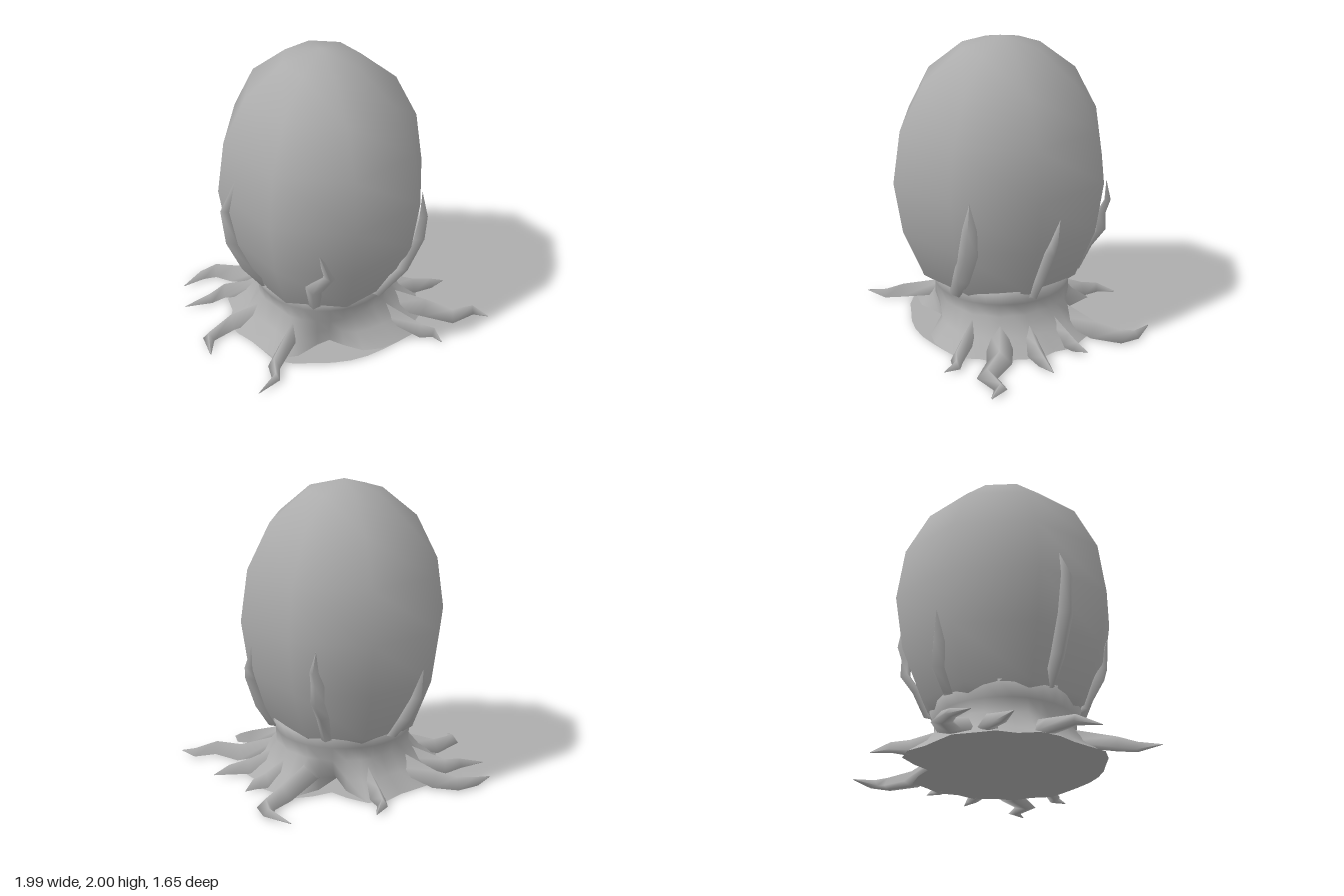
import * as THREE from 'three';
import { mergeVertices } from 'three/addons/utils/BufferGeometryUtils.js';

const CX = -0.06, CZ = 0.04; // axis of the egg and its base
const grey = new THREE.MeshStandardMaterial({ color: 0xacacac, side: THREE.DoubleSide });

// Smooth geometry with shared vertices
function smooth(geo) {
  geo.deleteAttribute('uv');
  geo.deleteAttribute('normal');
  const g = mergeVertices(geo, 1e-4);
  g.computeVertexNormals();
  return g;
}

function add(group, name, geo) {
  const m = new THREE.Mesh(geo, grey);
  m.name = name;
  group.add(m);
  return m;
}

// Tapered ridged strand through points; upAt gives the ridge direction
function strand(points, width, height, upAt, taper) {
  const P = points.map(p => new THREE.Vector3(...p));
  const pos = [], idx = [], n = P.length, S = 4;
  P.forEach((p, i) => {
    const t = P[Math.min(i + 1, n - 1)].clone().sub(P[Math.max(i - 1, 0)]).normalize();
    const up = upAt(p);
    const side = new THREE.Vector3().crossVectors(t, up).normalize();
    const k = taper(i / (n - 1));
    [[-1, 0], [0, 1], [1, 0], [0, -0.15]].forEach(([s, u]) => {
      const v = p.clone().addScaledVector(side, s * k * width / 2).addScaledVector(up, u * k * height);
      pos.push(v.x, v.y, v.z);
    });
  });
  for (let i = 0; i < n - 1; i++) for (let j = 0; j < S; j++) {
    const a = i * S + j, b = i * S + (j + 1) % S;
    idx.push(a, a + S, b, b, a + S, b + S);
  }
  idx.push(0, 1, 2, 0, 2, 3);
  const g = new THREE.BufferGeometry();
  g.setAttribute('position', new THREE.Float32BufferAttribute(pos, 3));
  g.setIndex(idx);
  g.computeVertexNormals();
  return g;
}

// Root centre lines on the ground: [width, [x, z], ...]
const ROOTS = [
  [0.1, [-0.1, -0.36], [-0.13, -0.6], [-0.13, -0.72], [-0.06, -0.83]],
  [0.14, [0.2, -0.24], [0.47, -0.44], [0.6, -0.57], [0.6, -0.66], [0.49, -0.82]],
  [0.11, [0.3, -0.13], [0.53, -0.21], [0.62, -0.23], [0.68, -0.28]],
  [0.11, [0.32, 0.03], [0.6, 0.05], [0.73, 0.05], [0.84, 0.03]],
  [0.15, [0.28, 0.18], [0.6, 0.31], [0.75, 0.45], [0.91, 0.42], [0.99, 0.51]],
  [0.08, [0.24, 0.34], [0.48, 0.56], [0.56, 0.59], [0.58, 0.68]],
  [0.08, [-0.33, 0.33], [-0.57, 0.6], [-0.59, 0.72], [-0.73, 0.82]],
  [0.12, [-0.4, 0.1], [-0.74, 0.08], [-0.92, 0.19], [-0.94, 0.35]],
  [0.1, [-0.4, -0.12], [-0.7, -0.28], [-0.82, -0.23], [-1.0, -0.21]],
  [0.14, [-0.34, -0.24], [-0.58, -0.47], [-0.7, -0.55], [-0.82, -0.53], [-0.96, -0.45]],
];

// Tendrils climbing the shell: [width, [x, y, z], ...]
const TENDRILS = [
  [0.14, [0.17, 0.35, 0.46], [0.34, 0.53, 0.47], [0.45, 0.75, 0.46], [0.48, 0.92, 0.46], [0.48, 1.1, 0.46]],
  [0.09, [0.42, 0.35, 0], [0.5, 0.5, -0.01], [0.57, 0.72, -0.05], [0.59, 0.8, -0.07], [0.59, 0.95, -0.11]],
  [0.1, [0.16, 0.37, -0.4], [0.2, 0.55, -0.46], [0.25, 0.68, -0.53], [0.25, 0.8, -0.53], [0.28, 0.9, -0.57], [0.27, 1.04, -0.58]],
  [0.12, [-0.26, 0.37, 0.49], [-0.29, 0.57, 0.58], [-0.2, 0.7, 0.65], [-0.28, 0.9, 0.68]],
  [0.12, [-0.5, 0.38, 0.18], [-0.62, 0.56, 0.2], [-0.72, 0.8, 0.22], [-0.76, 1.05, 0.22], [-0.69, 1.24, 0.2]],
  [0.12, [-0.28, 0.36, -0.4], [-0.34, 0.5, -0.48], [-0.41, 0.65, -0.5], [-0.45, 0.85, -0.53]],
];

const bump = (a, b, w) => {
  const d = Math.atan2(Math.sin(a - b), Math.cos(a - b));
  return Math.exp(-(d * d) / (w * w));
};

export function createModel() {
  const model = new THREE.Group();

  // Eight-sided egg, slightly deeper than wide
  const profile = [[0, 0.3], [0.4, 0.3], [0.52, 0.39], [0.65, 0.73], [0.7, 1.08], [0.65, 1.43], [0.5, 1.73], [0.26, 1.93], [0, 2]];
  const egg = add(model, 'eggShell', smooth(new THREE.LatheGeometry(profile.map(p => new THREE.Vector2(...p)), 8)));
  egg.scale.z = 1.065;
  egg.position.set(-0.07, 0, 0.04);

  // Flared base: spreads towards the roots, undercut at the front and back
  const spread = ROOTS.map(r => Math.atan2(r[2][0] - CX, r[2][1] - CZ));
  const flare = a => Math.max(...spread.map(s => bump(a, s, 0.2)));
  const back = a => bump(a, 2.75, 0.22);
  const rim = a => 0.63 + 0.06 * flare(a) - 0.14 * back(a);
  const hollow = a => Math.min(1, bump(a, -0.22, 0.36) + back(a));
  const skirt = new THREE.LatheGeometry(
    [[0.6, 0], [0.5, 0.09], [0.43, 0.21], [0.46, 0.3], [0.5, 0.4], [0.4, 0.4]].map(p => new THREE.Vector2(...p)), 32);
  const sp = skirt.attributes.position;
  for (let i = 0; i < sp.count; i++) {
    const x = sp.getX(i), y = sp.getY(i), z = sp.getZ(i), a = Math.atan2(x, z);
    let r = Math.hypot(x, z);
    if (y < 0.01) r = rim(a) - 0.24 * hollow(a);
    else if (y < 0.1) r = 0.5 + 0.06 * flare(a) - 0.1 * hollow(a);
    else if (y < 0.25) r += 0.03 * flare(a) + 0.03 * hollow(a);
    sp.setXYZ(i, CX + r * Math.sin(a), y + (y > 0.35 ? 0.01 * Math.sin(5 * a) : 0), CZ + r * Math.cos(a));
  }
  add(model, 'baseSkirt', smooth(skirt));

  // Flat underside out to the rim
  const outline = [];
  for (let i = 0; i < 32; i++) {
    const a = i / 32 * Math.PI * 2, r = rim(a);
    outline.push(new THREE.Vector2(CX + r * Math.sin(a), CZ + r * Math.cos(a)));
  }
  add(model, 'baseUnderside', new THREE.ShapeGeometry(new THREE.Shape(outline)).rotateX(Math.PI / 2));

  // Roots running out of the skirt along the ground
  const up = new THREE.Vector3(0, 1, 0);
  ROOTS.forEach(([w, ...pts]) => {
    const path = pts.map(([x, z], i) => [x, i === 0 ? 0.1 : 0.01, z]);
    add(model, 'root', strand(path, w, 0.08, () => up, t => 1.3 - 0.75 * t - 0.5 * t ** 4));
  });

  // Tendrils hugging the shell, ridge facing outwards
  const outward = p => new THREE.Vector3(p.x - CX, 0, p.z - CZ).normalize();
  TENDRILS.forEach(([w, ...pts]) =>
    add(model, 'tendril', strand(pts, w, 0.06, outward, t => (0.7 + 0.9 * t) * (1 - t ** 2.5))));

  return model;
}
